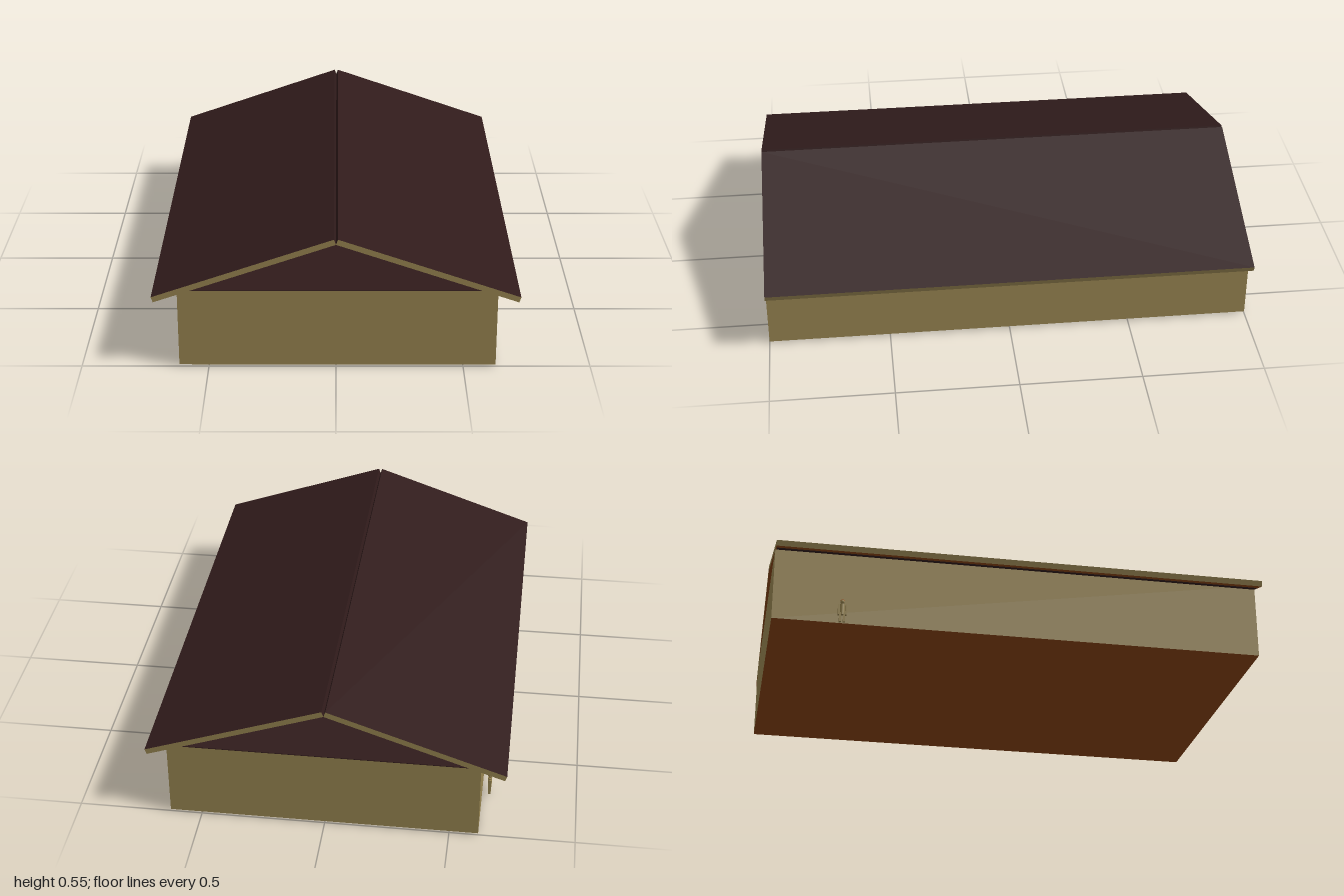
import * as THREE from 'three';

const mat = (name, color) => {
  const m = new THREE.MeshStandardMaterial({ color });
  m.name = name;
  return m;
};

export function createModel() {
  const tan = mat('tan wall', 0x988551);
  const shingle = mat('dark maroon roofing', 0x301b1b);
  const wood = mat('brown timber', 0x8b4513);
  const group = new THREE.Group();

  const add = (name, geometry, material, x, y, z, parent = group) => {
    const mesh = new THREE.Mesh(geometry, material);
    mesh.name = name;
    mesh.position.set(x, y, z);
    parent.add(mesh);
    return mesh;
  };

  // Building body: tan walls with a brown floor underside
  add('walls', new THREE.BoxGeometry(1.244, 0.321, 2),
    [tan, tan, shingle, wood, tan, tan], 0.006, 0.1685, 0);
  // Thin dark attic deck between the roof slopes
  add('atticDeck', new THREE.BoxGeometry(1.12, 0.003, 2), shingle, 0, 0.3305, 0);

  // Two roof slabs that meet at their lower ridge edge, leaving a small V notch
  const run = 0.71, rise = 0.245, thick = 0.023;
  const length = Math.hypot(run, rise), tilt = Math.atan2(rise, run);
  for (const side of [-1, 1]) {
    const slab = new THREE.Group();
    slab.name = side < 0 ? 'rightRoof' : 'leftRoof';
    slab.position.set(0, 0.525, 0);
    slab.rotation.z = -side * tilt;
    // The eave end is tan and the ridge end is dark
    const ends = side > 0 ? [tan, shingle] : [shingle, tan];
    add('roofSlab', new THREE.BoxGeometry(length, thick, 2),
      [...ends, shingle, wood, tan, tan], side * length / 2, thick / 2, 0, slab);
    // Dark strip under the eave next to the wall
    add('eaveStrip', new THREE.BoxGeometry(0.04, 0.002, 1.99), shingle,
      side * (length - 0.07), -0.001, 0, slab);
    group.add(slab);
  }

  // Small standing figure beside the building, facing away from the wall
  const figure = new THREE.Group();
  figure.name = 'figure';
  figure.position.set(-0.645, 0, -0.725);
  add('torso', new THREE.CylinderGeometry(0.009, 0.008, 0.046, 10), tan, 0, 0.054, 0, figure);
  add('neck', new THREE.CylinderGeometry(0.004, 0.004, 0.008, 8), tan, 0, 0.079, 0, figure);
  add('head', new THREE.SphereGeometry(0.009, 10, 8), tan, 0, 0.088, 0, figure);
  add('hair', new THREE.SphereGeometry(0.0098, 10, 4, 0, Math.PI * 2, 0, Math.PI * 0.4),
    wood, 0, 0.088, 0, figure);
  for (const s of [-1, 1]) {
    add('leg', new THREE.BoxGeometry(0.011, 0.04, 0.008), tan, 0, 0.02, s * 0.008, figure);
    add('arm', new THREE.BoxGeometry(0.012, 0.044, 0.006), tan, 0, 0.052, s * 0.0145, figure);
  }
  group.add(figure);

  return group;
}
